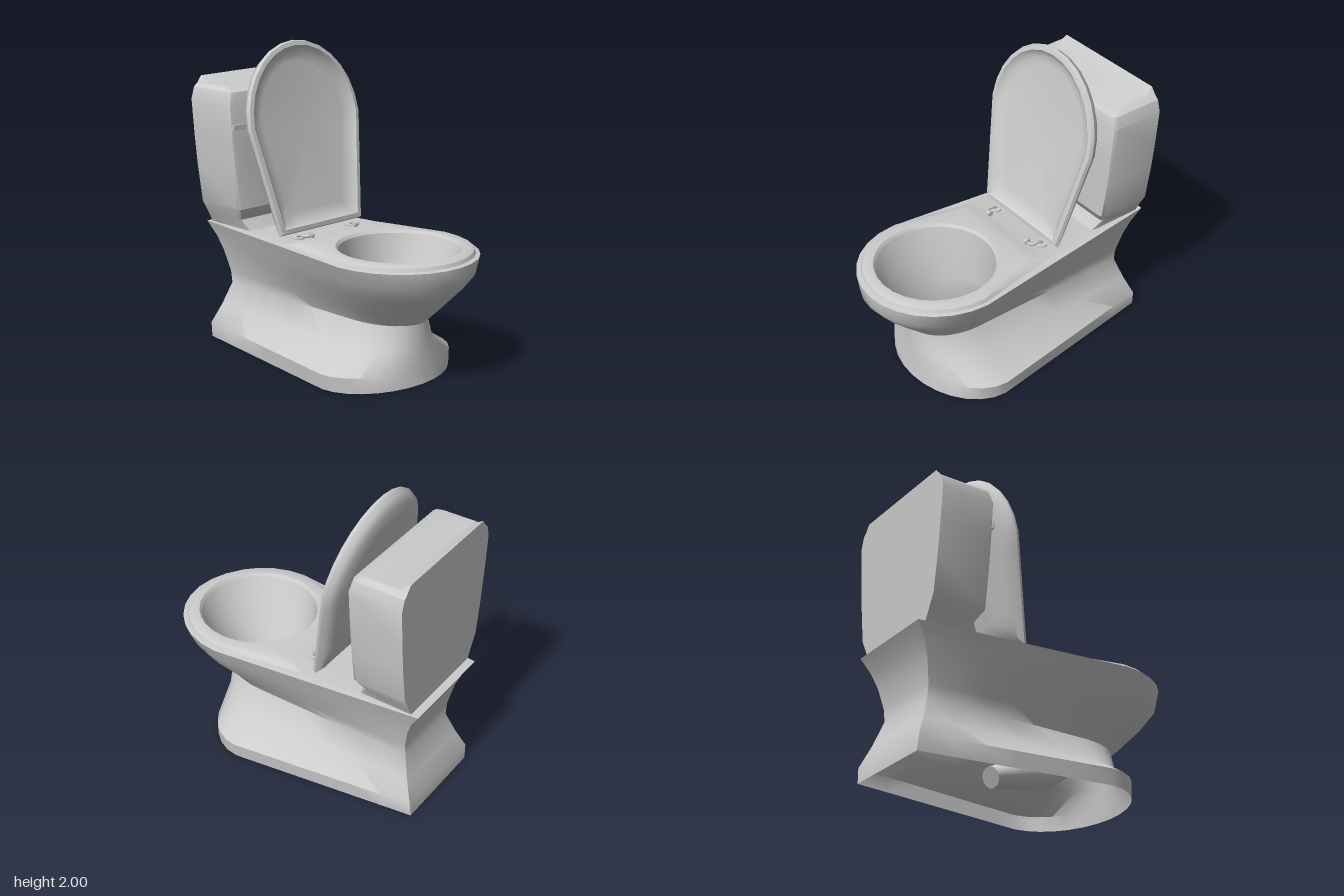
import * as THREE from 'three';
import { toCreasedNormals } from 'three/addons/utils/BufferGeometryUtils.js';

const material = new THREE.MeshStandardMaterial({ color: 0xcccccc, side: THREE.DoubleSide });
const V = (x, y, z) => new THREE.Vector3(x, y, z);
const BACK = 6, SIDE = 6, ARC = 14;

function add(parent, name, geometry) {
  const mesh = new THREE.Mesh(geometry, material);
  mesh.name = name;
  parent.add(mesh);
  return mesh;
}

// Skin a stack of closed rings that have equal point counts
function loft(rings, crease = 0.6) {
  const pos = [];
  const tri = (a, b, c) => {
    const area = b.clone().sub(a).cross(c.clone().sub(a)).length();
    if (area > 1e-9) for (const p of [a, b, c]) pos.push(p.x, p.y, p.z);
  };
  for (let i = 0; i < rings.length - 1; i++) {
    const lo = rings[i], hi = rings[i + 1], n = lo.length;
    for (let j = 0; j < n; j++) {
      const k = (j + 1) % n;
      tri(lo[j], hi[j], hi[k]);
      tri(lo[j], hi[k], lo[k]);
    }
  }
  const g = new THREE.BufferGeometry();
  g.setAttribute('position', new THREE.Float32BufferAttribute(pos, 3));
  return toCreasedNormals(g, crease);
}

// Collapse a ring to its middle to close an end
function middle(ring) {
  const box = new THREE.Box3().setFromPoints(ring);
  return ring.map(() => box.getCenter(V(0, 0, 0)));
}

// Plan outline: straight back, tapering sides, half-ellipse front
function outline(y, hw, backHw, front, wide, back) {
  const pts = [];
  for (let i = 0; i < BACK; i++) pts.push(V(-backHw + 2 * backHw * i / BACK, y, back));
  for (let i = 0; i < SIDE; i++) {
    const t = i / SIDE;
    pts.push(V(backHw + (hw - backHw) * t, y, back + (wide - back) * t));
  }
  for (let i = 0; i < ARC; i++) {
    const a = Math.PI * i / ARC;
    pts.push(V(hw * Math.cos(a), y, wide + (front - wide) * Math.sin(a)));
  }
  for (let i = 0; i < SIDE; i++) {
    const t = i / SIDE;
    pts.push(V(-hw + (hw - backHw) * t, y, wide + (back - wide) * t));
  }
  return pts;
}

// Ellipse with the same point order as outline; rise lifts its back edge
function ellipse(y, cz, rx, rz, rise = 0) {
  const pts = [], deg = Math.PI / 180;
  const put = (a) => pts.push(V(rx * Math.cos(a), y - rise * Math.sin(a), cz + rz * Math.sin(a)));
  for (let i = 0; i < BACK; i++) put((-130 + 80 * i / BACK) * deg);
  for (let i = 0; i < SIDE; i++) put((-50 + 50 * i / SIDE) * deg);
  for (let i = 0; i < ARC; i++) put(180 * i / ARC * deg);
  for (let i = 0; i < SIDE; i++) put((180 + 50 * i / SIDE) * deg);
  return pts;
}

// Tank section: rectangle with softened front corners
function tankRing(y, hw, front, backHw = hw, c = 0.03) {
  const back = -0.9, f = Math.max(front, back + c);
  return [V(-backHw, y, back), V(backHw, y, back), V(hw, y, f - c), V(hw - c * 0.3, y, f - c * 0.3),
    V(hw - c, y, f), V(-hw + c, y, f), V(-hw + c * 0.3, y, f - c * 0.3), V(-hw, y, f - c)];
}

export function createModel() {
  const model = new THREE.Group();
  model.name = 'toilet';

  // Pedestal: y, half width, back half width, front, widest z, back
  const levels = [
    [0, 0.5, 0.33, 0.67, 0.3, -0.93],
    [0.1, 0.515, 0.34, 0.66, 0.3, -0.925],
    [0.23, 0.3, 0.29, 0.655, 0.3, -0.87],
    [0.38, 0.235, 0.24, 0.645, 0.3, -0.82],
    [0.46, 0.285, 0.25, 0.73, 0.34, -0.82],
    [0.6, 0.4, 0.28, 0.87, 0.4, -0.85],
    [0.7, 0.455, 0.305, 0.95, 0.43, -0.89],
    [0.795, 0.5, 0.335, 0.955, 0.44, -0.95],
  ];
  add(model, 'pedestal', loft(levels.map((l) => outline(...l)), 0.75));

  // Flat deck and raised rim round the bowl opening
  add(model, 'rim', loft([
    outline(0.795, 0.5, 0.335, 0.955, 0.44, -0.95),
    outline(0.8, 0.48, 0.375, 0.925, 0.44, -0.135),
    outline(0.822, 0.47, 0.36, 0.915, 0.44, -0.06),
    outline(0.833, 0.445, 0.34, 0.895, 0.44, 0.0),
    ellipse(0.833, 0.46, 0.385, 0.39),
    ellipse(0.815, 0.46, 0.37, 0.375),
  ]));

  // Bowl sweeping down and back into the drain
  const drain = ellipse(0.09, -0.22, 0.08, 0.025, 0.06);
  add(model, 'bowl', loft([
    ellipse(0.815, 0.46, 0.37, 0.375),
    ellipse(0.65, 0.42, 0.305, 0.325),
    ellipse(0.45, 0.33, 0.205, 0.235),
    ellipse(0.29, 0.235, 0.14, 0.14, 0.06),
    ellipse(0.19, 0.13, 0.115, 0.07, 0.1),
    drain, middle(drain),
  ], 1));

  // Lid, modelled flat and then stood up: inset, height
  const lidRing = (inset, h, bottom = inset) =>
    outline(h, 0.475 - inset, 0.355 - inset, 1.2 - inset, 0.69, bottom);
  const lidRings = [
    lidRing(0.16, -0.095, 0.2), lidRing(0.06, -0.088, 0.13), lidRing(0.015, -0.06, 0.05),
    lidRing(0, -0.025), lidRing(0.008, -0.004), lidRing(0.035, 0), lidRing(0.045, -0.012),
    lidRing(0.08, -0.035), lidRing(0.13, -0.042),
  ];
  lidRings.unshift(middle(lidRings[0]));
  lidRings.push(middle(lidRings[lidRings.length - 1]));
  const lid = add(model, 'lid', loft(lidRings, 0.7).rotateX(-Math.PI / 2).rotateY(Math.PI));
  lid.position.set(0, 0.83, -0.2);
  lid.rotation.x = -0.21;

  // Tank: notched foot, flared sides, raised lip along the back
  const tank = [
    tankRing(0.8, 0.33, -0.53), tankRing(0.87, 0.365, -0.58), tankRing(0.95, 0.41, -0.53),
    tankRing(1.2, 0.445, -0.53), tankRing(1.4, 0.465, -0.53), tankRing(1.63, 0.483, -0.53),
    tankRing(1.705, 0.46, -0.545), tankRing(1.73, 0.43, -0.6), tankRing(1.732, 0.42, -0.83, 0.43),
    tankRing(1.77, 0.4, -0.895, 0.4, 0.004),
  ];
  tank.unshift(middle(tank[0]));
  tank.push(middle(tank[tank.length - 1]));
  add(model, 'tank', loft(tank, 0.55));

  // Flush handle
  const handle = new THREE.Group();
  handle.name = 'flushHandle';
  model.add(handle);
  add(handle, 'knob', new THREE.CylinderGeometry(0.028, 0.036, 0.05, 16).rotateX(Math.PI / 2))
    .position.set(-0.31, 1.495, -0.51);
  add(handle, 'lever', new THREE.BoxGeometry(0.15, 0.035, 0.012)).position.set(-0.385, 1.485, -0.525);

  // Mirrored lid hinges
  for (const s of [1, -1]) {
    const hinge = new THREE.Group();
    hinge.name = s > 0 ? 'leftHinge' : 'rightHinge';
    model.add(hinge);
    add(hinge, 'hingePlate', new THREE.CylinderGeometry(0.04, 0.04, 0.012, 16))
      .position.set(s * 0.235, 0.803, -0.185);
    const path = new THREE.CatmullRomCurve3([
      V(s * 0.235, 0.805, -0.2), V(s * 0.235, 0.825, -0.17), V(s * 0.233, 0.825, -0.125),
      V(s * 0.222, 0.825, -0.11), V(s * 0.19, 0.825, -0.11),
    ]);
    add(hinge, 'hingeArm', new THREE.TubeGeometry(path, 16, 0.01, 8));
    add(hinge, 'hingePin', new THREE.CylinderGeometry(0.019, 0.019, 0.02, 12).rotateZ(Math.PI / 2))
      .position.set(s * 0.19, 0.828, -0.11);
  }
  return model;
}
